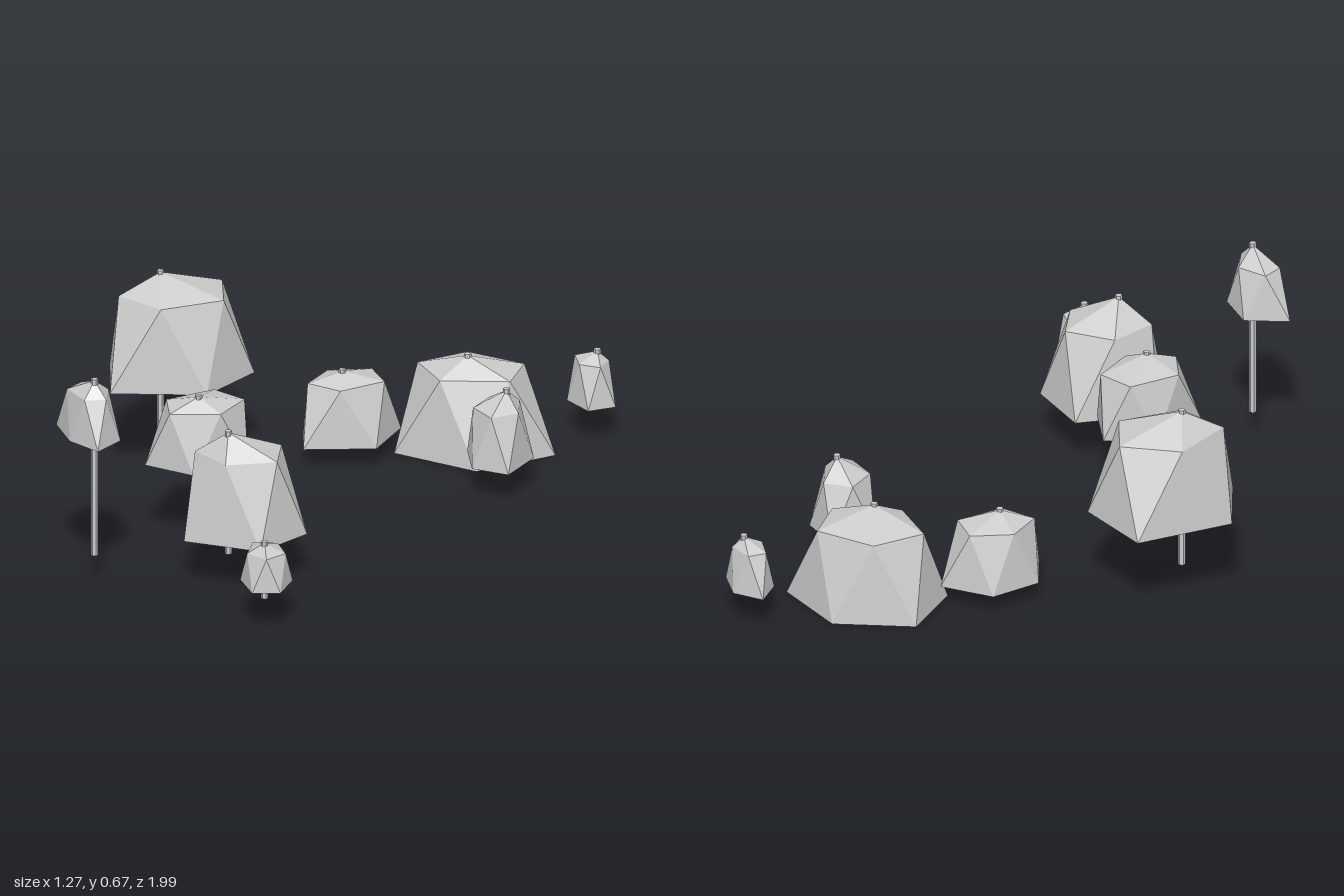
import * as THREE from 'three';

const TRUNK_FOOT = 0.09;
const TRUNK_RADIUS = 0.011;

// Open five-sided dome: flared rim, narrower shoulder ring turned half a step, one peak.
function domeGeometry({ rim, peak, base, shoulder, top, taper }) {
  const n = rim.length;
  const cx = rim.reduce((s, p) => s + p[0], 0) / n;
  const cz = rim.reduce((s, p) => s + p[1], 0) / n;
  const apex = [peak[0], top, peak[1]];
  const low = rim.map(([x, z]) => [x, base, z]);
  const high = rim.map(([x, z], i) => {
    const [x2, z2] = rim[(i + 1) % n];
    return [cx + ((x + x2) / 2 - cx) * taper, shoulder, cz + ((z + z2) / 2 - cz) * taper];
  });
  const points = [];
  for (let i = 0; i < n; i++) {
    const j = (i + 1) % n;
    points.push(apex, high[j], high[i]);
    points.push(low[j], low[i], high[i]);
    points.push(high[i], high[j], low[j]);
  }
  const geometry = new THREE.BufferGeometry();
  geometry.setAttribute('position', new THREE.Float32BufferAttribute(points.flat(), 3));
  geometry.computeVertexNormals();
  return geometry;
}

// Each tree: rim corners and peak as [x, z], then heights and shoulder taper.
const trees = [
  { rim: [[-0.64, -0.02], [-0.48, -0.29], [-0.235, -0.205], [-0.25, 0.03], [-0.5, 0.185]],
    peak: [-0.461, -0.03], base: 0.275, shoulder: 0.543, top: 0.611, taper: 0.87 },
  { rim: [[0.42, -0.985], [0.52, -1], [0.6, -0.925], [0.55, -0.85], [0.445, -0.89]],
    peak: [0.526, -0.935], base: 0.11, shoulder: 0.242, top: 0.275, taper: 0.87 },
  { rim: [[0.06, -0.69], [0.28, -0.82], [0.515, -0.725], [0.39, -0.48], [0.1, -0.465]],
    peak: [0.278, -0.6], base: 0, shoulder: 0.26, top: 0.315, taper: 0.87 },
  { rim: [[-0.085, -0.49], [0.085, -0.525], [0.12, -0.34], [-0.06, -0.21], [-0.145, -0.335]],
    peak: [-0.015, -0.355], base: 0.06, shoulder: 0.245, top: 0.28, taper: 0.9 },
  { rim: [[0.405, -0.41], [0.48, -0.535], [0.605, -0.475], [0.62, -0.315], [0.5, -0.295]],
    peak: [0.545, -0.415], base: 0.095, shoulder: 0.265, top: 0.322, taper: 0.88 },
  { rim: [[0.025, 0.25], [0.135, 0.375], [0.045, 0.54], [-0.125, 0.55], [-0.11, 0.345]],
    peak: [0.005, 0.452], base: 0.247, shoulder: 0.43, top: 0.467, taper: 0.99 },
  { rim: [[0.265, 0.445], [0.465, 0.545], [0.43, 0.745], [0.19, 0.805], [0.09, 0.635]],
    peak: [0.268, 0.68], base: 0.153, shoulder: 0.41, top: 0.485, taper: 0.84 },
  { rim: [[-0.23, 0.875], [-0.11, 0.8], [0.005, 0.875], [0, 0.99], [-0.12, 0.965]],
    peak: [-0.061, 0.918], base: 0.464, shoulder: 0.61, top: 0.66, taper: 0.85 },
  { rim: [[0.49, 0.815], [0.605, 0.83], [0.635, 0.94], [0.565, 0.99], [0.47, 0.915]],
    peak: [0.563, 0.92], base: 0.128, shoulder: 0.236, top: 0.27, taper: 0.95 },
];

export function createModel() {
  const model = new THREE.Group();
  model.name = 'treeCluster';
  const grey = new THREE.MeshStandardMaterial({
    name: 'paleGrey', color: 0xcccccc, flatShading: true, side: THREE.DoubleSide,
  });

  for (const spec of trees) {
    const tree = new THREE.Group();
    tree.name = 'tree';

    const canopy = new THREE.Mesh(domeGeometry(spec), grey);
    canopy.name = 'canopy';

    // The trunk runs up inside the hollow canopy and just breaks the peak.
    const height = spec.top + 0.006 - TRUNK_FOOT;
    const trunk = new THREE.Mesh(
      new THREE.CylinderGeometry(TRUNK_RADIUS, TRUNK_RADIUS, height, 6), grey);
    trunk.name = 'trunk';
    trunk.position.set(spec.peak[0], TRUNK_FOOT + height / 2, spec.peak[1]);

    tree.add(canopy, trunk);
    model.add(tree);
  }
  return model;
}
